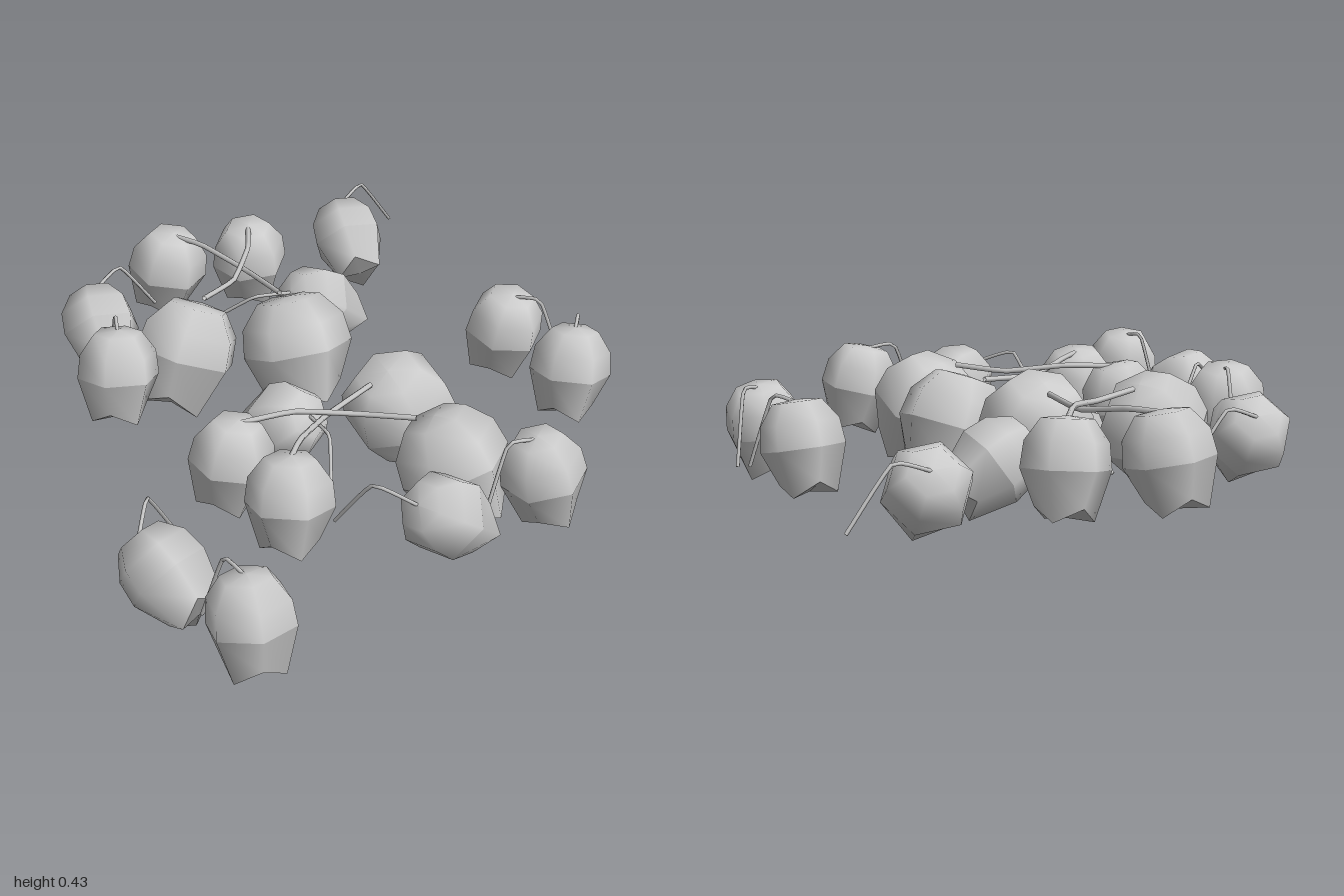
import * as THREE from 'three';

const material = new THREE.MeshStandardMaterial({ color: 0xcccccc, side: THREE.DoubleSide });
const UP = new THREE.Vector3(0, 1, 0);
const V = (p) => new THREE.Vector3(...p);

// Six-sided turned band; profile runs bottom to top as [radius, height]
function band(profile) {
  return new THREE.LatheGeometry(profile.map((p) => new THREE.Vector2(...p)), 6);
}

// Shift alternate corners of the lower ring so the underside has a zigzag rim
function zigzag(geometry) {
  const p = geometry.attributes.position;
  for (let i = 0; i < p.count; i++) {
    if (p.getY(i) < -0.6 && Math.hypot(p.getX(i), p.getZ(i)) > 0.1) {
      p.setY(i, p.getY(i) - 0.13 * Math.cos(3 * Math.atan2(p.getX(i), p.getZ(i))));
    }
  }
  return geometry;
}

// Unit fruit: rounded shoulders, sharp waist, tapered lower half, faceted base
const fruitParts = {
  fruitTop: band([[1, 0], [0.93, 0.5], [0.58, 0.92], [0, 0.97]]),
  fruitLower: zigzag(band([[0.66, -0.82], [1, 0]])),
  fruitBase: zigzag(band([[0, -0.88], [0.66, -0.82]])),
};

function addMesh(parent, name, geometry) {
  const mesh = new THREE.Mesh(geometry, material);
  mesh.name = name;
  parent.add(mesh);
}

// Group of parts placed at a point and turned about the vertical
function group(name, at, degrees, ...parts) {
  const g = new THREE.Group();
  g.name = name;
  g.position.set(...at);
  g.rotation.y = THREE.MathUtils.degToRad(degrees);
  if (parts.length) g.add(...parts);
  return g;
}

// Fruit rolled about its axis and tilted, with an optional stem path leaving its top
function fruit({ at = [0, 0, 0], r = 0.128, h = 0.15, axis, roll = 0, stem }) {
  const direction = V(axis).normalize();
  const body = group('fruitBody', at, 0);
  body.quaternion.setFromUnitVectors(UP, direction)
    .multiply(new THREE.Quaternion().setFromAxisAngle(UP, roll));
  body.scale.set(r, h, r);
  for (const [name, geometry] of Object.entries(fruitParts)) addMesh(body, name, geometry);

  const whole = group('fruit', [0, 0, 0], 0, body);
  if (stem) {
    const start = V(at).addScaledVector(direction, h * 0.9);
    const path = new THREE.CatmullRomCurve3([start, ...stem.map(V)], false, 'catmullrom', 0.2);
    addMesh(whole, 'stem', new THREE.TubeGeometry(path, 12, stem.length > 2 ? 0.009 : 0.006, 5));
  }
  return whole;
}

// Fruit lying over on its side, with a long stem bending to the ground
const lyingFruit = (at, degrees) => group('lyingFruit', at, degrees, fruit({
  axis: [0.2, 0.58, -0.78], roll: 0.45, stem: [[0.16, 0.12, -0.15], [0.29, -0.05, -0.15]],
}));

// Fruit standing up, with a short stem dropping beside it
const standingFruit = (at, degrees) => group('standingFruit', at, degrees, fruit({
  axis: [0.12, 0.95, -0.15], roll: 0.2, stem: [[0.06, 0.14, -0.11], [0.08, -0.08, -0.19]],
}));

// A lying and a standing fruit side by side
const pair = (at, degrees) => group('fruitPair', at, degrees,
  lyingFruit([0, 0, 0], 0), standingFruit([-0.12, 0.02, 0.31], 0));

// Two crossed stems, each joining a small and a large fruit, plus a loose fruit and a pair
const cluster = (at, degrees) => group('fruitCluster', at, degrees,
  fruit({ at: [-0.1, 0.28, -0.31], r: 0.132, axis: [0.1, 0.95, 0.15],
    stem: [[-0.04, 0.41, -0.18], [0.01, 0.38, 0.01], [0, 0.39, 0.22]] }),
  fruit({ at: [0.18, 0.27, -0.23], axis: [-0.1, 0.95, 0.12], roll: 0.2,
    stem: [[0.07, 0.41, -0.07], [-0.07, 0.39, 0.06], [-0.23, 0.4, 0.13]] }),
  fruit({ at: [-0.34, 0.25, 0.18], r: 0.17, h: 0.178, axis: [0.4, 0.87, -0.1], roll: 0.3 }),
  fruit({ at: [-0.02, 0.25, 0.35], r: 0.175, h: 0.178, axis: [0.03, 0.9, -0.35] }),
  fruit({ at: [0.25, 0.22, 0.1], axis: [-0.82, 0.55, -0.05], roll: 0.25,
    stem: [[0.02, 0.29, 0.04], [-0.06, 0.2, -0.06]] }),
  pair([-0.49, 0.27, -0.08], 0));

export function createModel() {
  const model = group('scatteredFruit', [0, 0, 0], 0,
    cluster([0.1, 0, -0.56], 0),
    cluster([-0.17, -0.05, 0.3], 108),
    pair([-0.875, 0.19, 0.55], 30),
    lyingFruit([0.68, 0.24, -0.76], 0),
    standingFruit([0.73, 0.22, 0.03], -126),
    standingFruit([0.73, 0.22, 0.36], -21));

  // Stand the pile on the ground
  const { min } = new THREE.Box3().setFromObject(model, true);
  for (const part of model.children) part.position.y -= min.y;
  return model;
}
